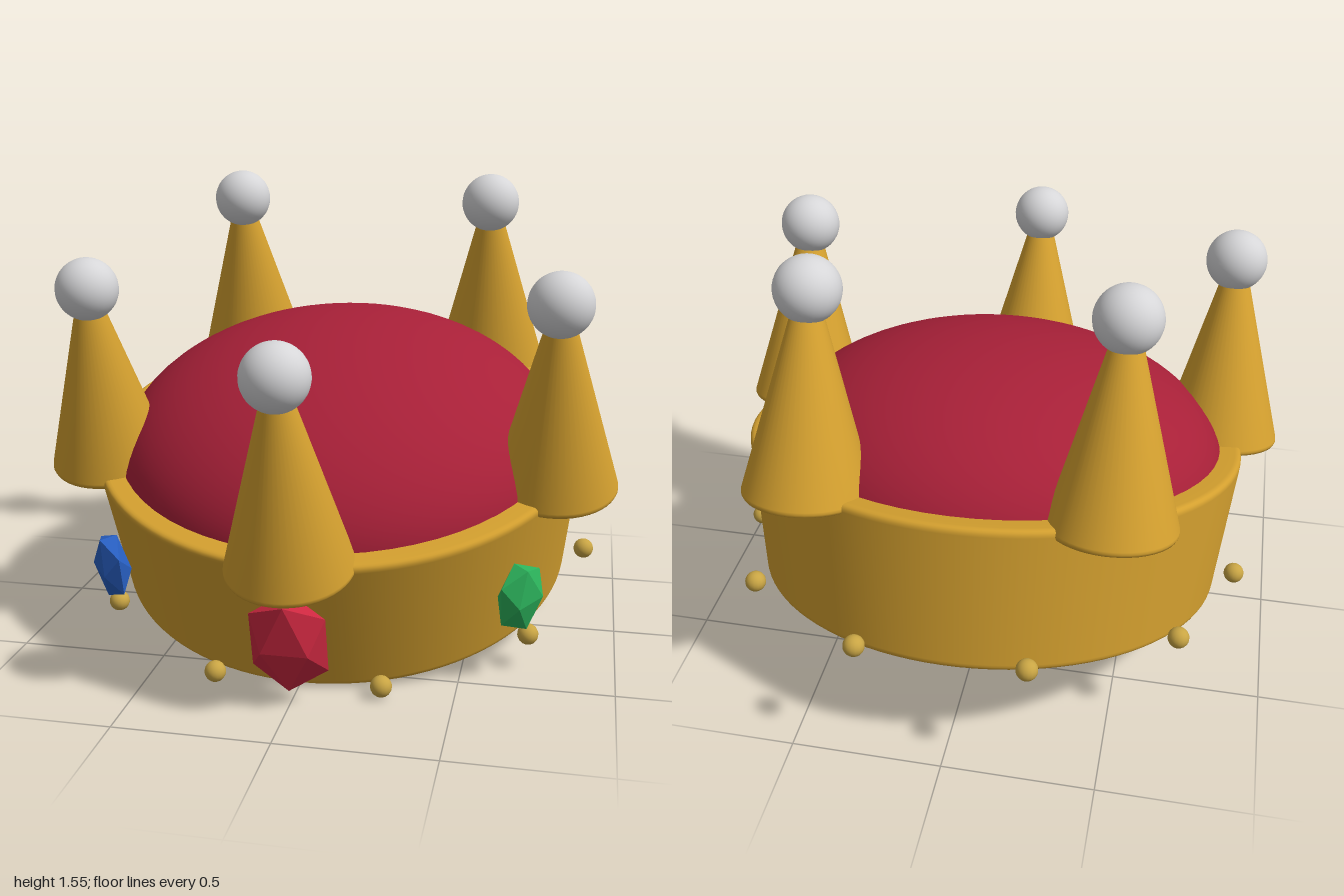
import * as THREE from 'three';

const mat = (name, color) => {
  const m = new THREE.MeshStandardMaterial({ color });
  m.name = name;
  return m;
};

export function createModel() {
  const gold = mat('gold', 0xd4a02f);
  const paleGold = mat('pale gold', 0xc9a544);
  const velvet = mat('crimson velvet', 0xa82038);
  const pearl = mat('pearl', 0xd6d6d8);
  const ruby = mat('ruby', 0xcc2840);
  const sapphire = mat('sapphire', 0x2860c4);
  const emerald = mat('emerald', 0x2cb45c);
  for (const m of [ruby, sapphire, emerald]) m.flatShading = true;

  const model = new THREE.Group();
  model.name = 'crown';

  // The whole crown leans forward
  const crown = new THREE.Group();
  crown.name = 'tiltedCrown';
  crown.position.set(0, 0.205, -0.17);
  crown.rotation.x = 0.25;
  model.add(crown);

  const add = (name, geometry, material, parent = crown) => {
    const mesh = new THREE.Mesh(geometry, material);
    mesh.name = name;
    parent.add(mesh);
    return mesh;
  };

  // Places a mesh on a circle, angle 0 facing the front
  const onRing = (mesh, radius, y, angle) => {
    mesh.position.set(radius * Math.sin(angle), y, radius * Math.cos(angle));
    mesh.rotation.y = angle;
    return mesh;
  };

  // Lathe profile with its corners rounded
  const roundedProfile = (corners, r) => {
    const points = [];
    corners.forEach((c, i) => {
      const prev = corners[(i + corners.length - 1) % corners.length];
      const next = corners[(i + 1) % corners.length];
      const a = c.clone().add(prev.clone().sub(c).setLength(r));
      const b = c.clone().add(next.clone().sub(c).setLength(r));
      points.push(...new THREE.QuadraticBezierCurve(a, c, b).getPoints(5));
    });
    points.push(points[0].clone());
    return points;
  };
  const v = (x, y) => new THREE.Vector2(x, y);

  // Flared band
  const band = roundedProfile([v(0.69, 0), v(0.805, 0), v(0.862, 0.505), v(0.75, 0.505)], 0.025);
  add('band', new THREE.LatheGeometry(band, 96), gold);

  // Cushion filling the band
  const cushion = add('cushion', new THREE.SphereGeometry(1, 64, 40), velvet);
  cushion.scale.set(0.8, 0.45, 0.8);
  cushion.position.y = 0.42;

  // Five points, each topped with a pearl
  const coneGeometry = new THREE.LatheGeometry(
    [v(0, 0), v(0.19, 0), v(0.19, 0), v(0.201, 0.003), v(0.205, 0.012), v(0.204, 0.02), v(0.045, 0.6), v(0, 0.6)], 48);
  const pearlGeometry = new THREE.SphereGeometry(0.105, 32, 24);
  for (let i = 0; i < 5; i++) {
    const angle = (i * Math.PI * 2) / 5;
    onRing(add('point', coneGeometry, gold), 0.816, 0.47, angle);
    onRing(add('pearl', pearlGeometry, pearl), 0.814, 1.127, angle);
  }

  // Faceted gems at the front
  const gem = (name, material, size, angle) => {
    const g = new THREE.IcosahedronGeometry(1, 0).rotateY(Math.PI / 2);
    g.scale(size * 0.76, size, size * 0.43);
    onRing(add(name, g, material), 0.9, 0.253, angle);
  };
  gem('frontGem', ruby, 0.187, 0);
  gem('leftGem', emerald, 0.133, 0.87);
  gem('rightGem', sapphire, 0.133, -0.87);

  // Ten studs around the lower edge
  const studGeometry = new THREE.SphereGeometry(0.035, 16, 12);
  for (let i = 0; i < 10; i++) {
    onRing(add('stud', studGeometry, paleGold), 0.88, 0.054, ((i + 0.5) * Math.PI) / 5);
  }

  return model;
}
